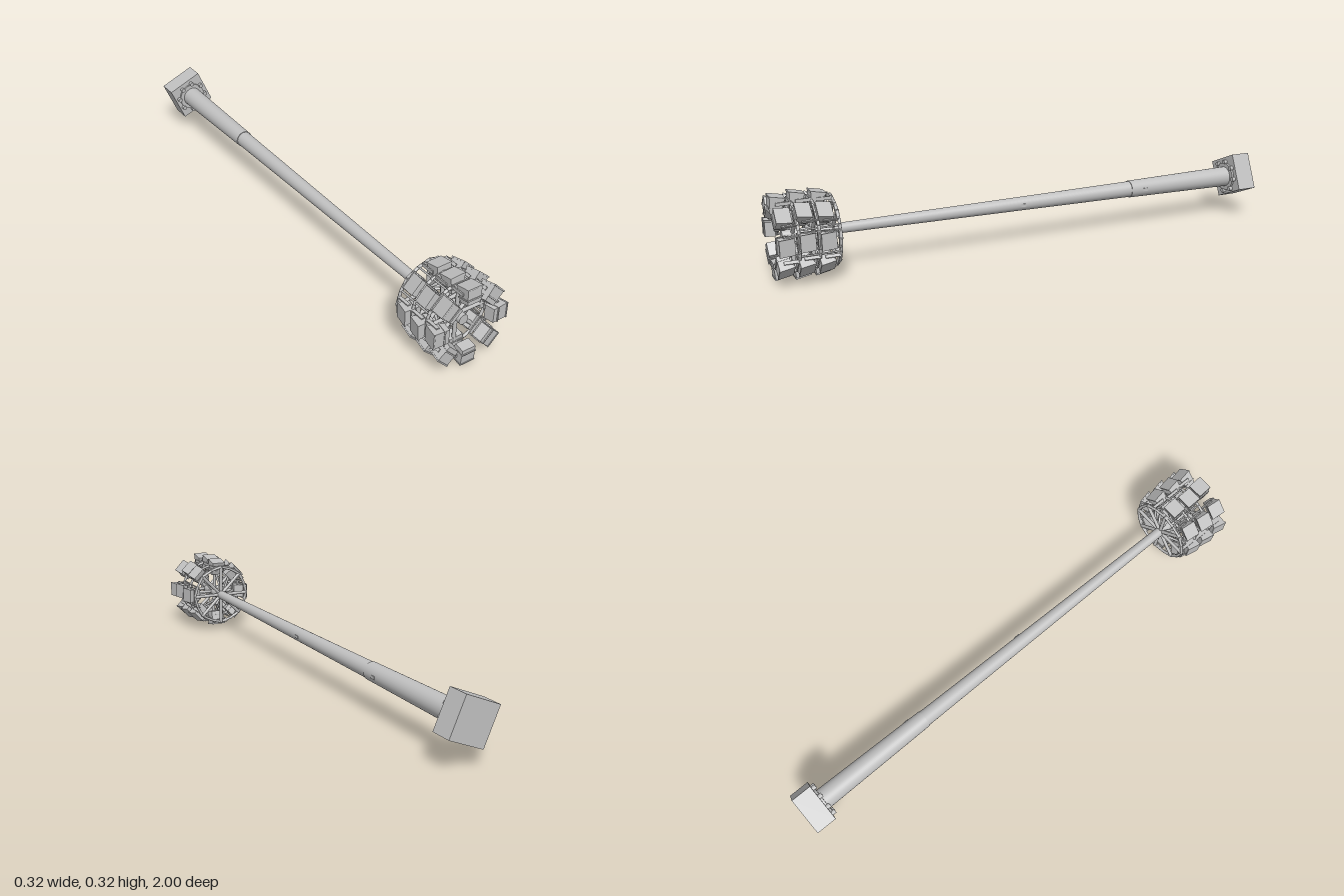
import * as THREE from 'three';

const metal = new THREE.MeshStandardMaterial({ color: 0xc0c0c0 });
metal.name = 'galvanised grey';

function add(parent, name, geometry, x = 0, y = 0, z = 0) {
  const mesh = new THREE.Mesh(geometry, metal);
  mesh.name = name;
  mesh.position.set(x, y, z);
  parent.add(mesh);
  return mesh;
}

// Round bar between two points
function bar(parent, name, a, b, radius, sides = 8) {
  const dir = b.clone().sub(a);
  const mesh = add(parent, name, new THREE.CylinderGeometry(radius, radius, dir.length(), sides));
  mesh.position.copy(a).add(b).multiplyScalar(0.5);
  mesh.quaternion.setFromUnitVectors(new THREE.Vector3(0, 1, 0), dir.normalize());
  return mesh;
}

const polar = (r, a, z) => new THREE.Vector3(r * Math.cos(a), r * Math.sin(a), z);

// Tapered housing: wide end towards +x
function taperedBox(x0, x1, w0, w1, h0, h1) {
  const g = new THREE.BoxGeometry(x1 - x0, 1, 1);
  g.translate((x0 + x1) / 2, 0, 0);
  const p = g.attributes.position;
  for (let i = 0; i < p.count; i++) {
    const outer = p.getX(i) > (x0 + x1) / 2;
    p.setY(i, p.getY(i) * (outer ? w1 : w0));
    p.setZ(i, p.getZ(i) * (outer ? h1 : h0));
  }
  g.computeVertexNormals();
  return g;
}

// Floodlight aimed outwards along +x and tipped towards the base
function makeLamp() {
  const lamp = new THREE.Group();
  lamp.name = 'floodlight';
  add(lamp, 'rearHousing', taperedBox(-0.03, -0.013, 0.053, 0.055, 0.036, 0.041));
  add(lamp, 'housingCollar', new THREE.BoxGeometry(0.005, 0.059, 0.047), -0.012);
  add(lamp, 'lampHousing', taperedBox(-0.01, 0.025, 0.055, 0.057, 0.042, 0.052));
  add(lamp, 'lensFrame', new THREE.BoxGeometry(0.005, 0.06, 0.056), 0.027);
  lamp.rotation.y = 0.2;
  return lamp;
}

function makeTier(z, twist, lampRadius) {
  const tier = new THREE.Group();
  tier.name = 'lampTier';
  tier.position.z = z;
  tier.rotation.z = twist;
  const ringZ = -0.052;
  for (let i = 0; i < 8; i++) {
    const a = (i * Math.PI) / 4;
    const next = a + Math.PI / 4;
    // Ring in two short chords, and a spoke
    const mid = polar(0.123, a + Math.PI / 8, ringZ);
    bar(tier, 'ringSegment', polar(0.127, a, ringZ), mid, 0.0055);
    bar(tier, 'ringSegment', mid, polar(0.127, next, ringZ), 0.0055);
    bar(tier, 'spoke', polar(0.01, a, ringZ), polar(0.127, a, ringZ), 0.007);

    // Lamp on its forked bracket
    const mount = new THREE.Group();
    mount.name = 'lampMount';
    mount.rotation.z = a;
    const lamp = makeLamp();
    lamp.position.x = lampRadius;
    mount.add(lamp);
    for (const side of [-1, 1]) {
      add(mount, 'bracketArm', new THREE.BoxGeometry(0.012, 0.004, 0.054), 0.122, side * 0.031, -0.024);
    }
    add(mount, 'bracketFoot', new THREE.BoxGeometry(0.014, 0.066, 0.005), 0.123, 0, -0.047);
    tier.add(mount);
  }
  return tier;
}

export function createModel() {
  const model = new THREE.Group();
  model.name = 'floodlightMast';
  const mast = new THREE.Group();
  mast.name = 'mast';
  mast.position.set(-0.002, 0.155, 0);
  model.add(mast);

  // Foundation block
  const block = add(mast, 'foundationBlock', new THREE.BoxGeometry(0.15, 0.15, 0.08), 0, 0.003, -0.96);
  block.rotation.z = 0.41;

  // Base flange and anchor bolts
  const flange = add(mast, 'baseFlange', new THREE.CylinderGeometry(0.058, 0.058, 0.008, 32), 0, 0, -0.916);
  flange.rotation.x = Math.PI / 2;
  for (let i = 0; i < 8; i++) {
    const a = ((i + 0.5) * Math.PI) / 4 + 0.41;
    bar(mast, 'anchorBolt', polar(0.062, a, -0.922), polar(0.062, a, -0.905), 0.009, 10);
  }

  // Two tapered pole sections with a slip joint, and the core of the head
  const profile = [
    [0.041, -0.92], [0.034, -0.44], [0.0315, -0.44], [0.0185, 0.77], [0.0185, 0.955], [0, 0.955],
  ];
  // Repeated points keep the rim edges crisp
  const points = profile.flatMap(([r, z], i) =>
    i > 0 && i < 5 && i !== 3
      ? [new THREE.Vector2(r, z), new THREE.Vector2(r, z)]
      : [new THREE.Vector2(r, z)]);
  for (let i = 0; i + 1 < points.length; i++) {
    if (points[i].equals(points[i + 1])) continue;
    const pole = add(mast, 'poleSection', new THREE.LatheGeometry([points[i], points[i + 1]], 40));
    pole.rotation.x = Math.PI / 2;
  }

  // Small access hatches
  for (const [z, r] of [[0.04, 0.0265], [-0.5, 0.0348]]) {
    add(mast, 'accessHatch', new THREE.BoxGeometry(0.004, 0.012, 0.02), r, 0, z);
  }

  // Three tiers of eight floodlights
  mast.add(makeTier(0.97, 0, 0.117));
  mast.add(makeTier(0.9, 0.065, 0.122));
  mast.add(makeTier(0.828, 0.03, 0.118));

  // Braces and long ties that join the rings
  for (let i = 0; i < 8; i++) {
    const a = (i * Math.PI) / 4;
    bar(mast, 'headBrace', polar(0.017, a, 0.775), polar(0.11, a + 0.03, 0.848), 0.005);
    bar(mast, 'ringTie', polar(0.122, a + Math.PI / 8, 0.776), polar(0.122, a + Math.PI / 8, 0.918), 0.0035, 6);
  }
  return model;
}
